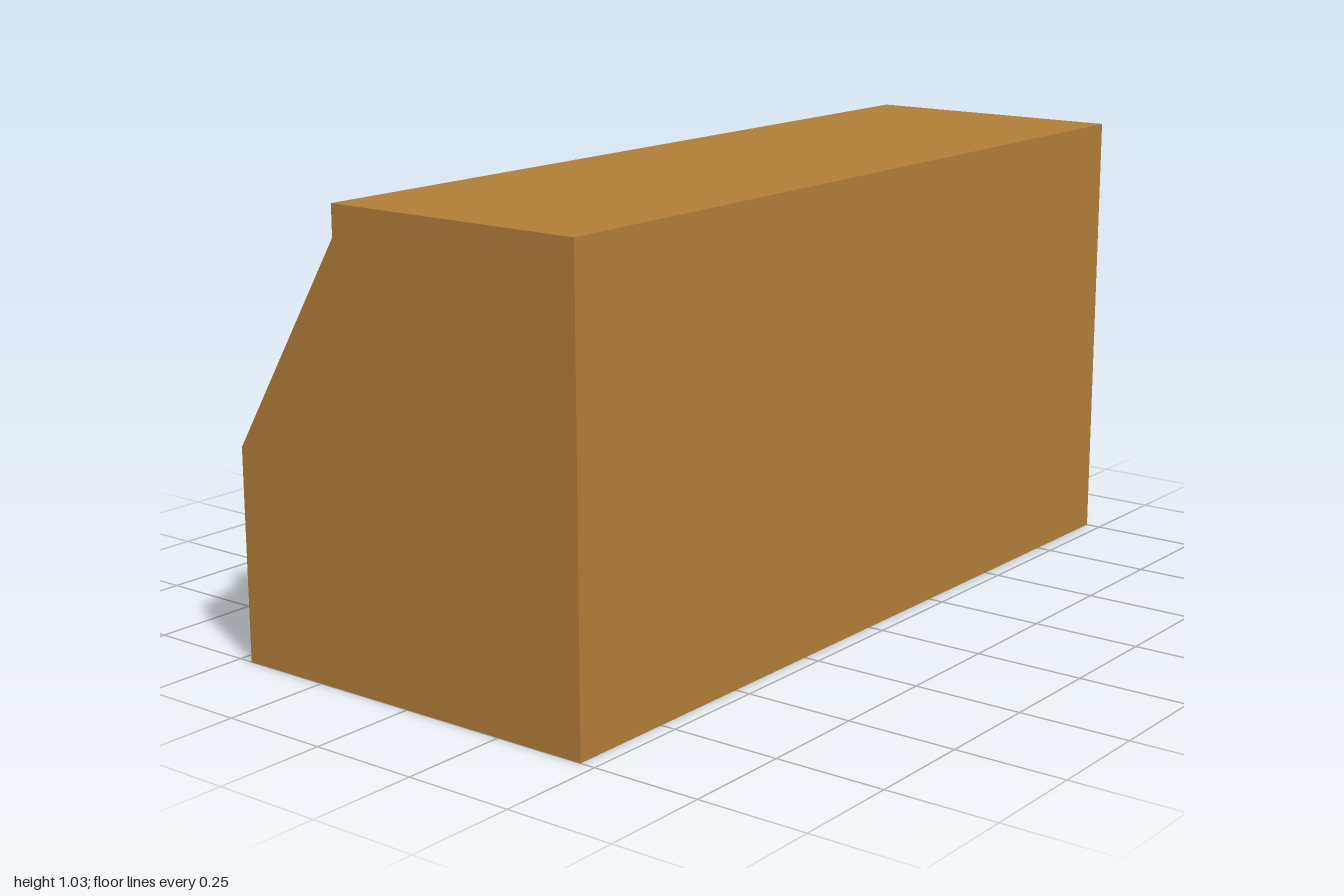
import * as THREE from 'three';

const material = new THREE.MeshStandardMaterial({ color: 0xb07d38, side: THREE.DoubleSide, flatShading: true });

// Profiles are lists of [z, y].
// Outer skin: front, top; the underside is open.
const frontAndTop = [[0.465, 0], [0.465, 1.03], [-0.17, 1.03]];
const slope = [[-0.17, 1.03], [-0.17, 0.96], [-0.465, 0.48]];
const backWall = [[-0.465, 0.48], [-0.465, 0]];
const header = [[-0.17, 1.03], [-0.17, 0.97]];
// Display recess: ceiling, sloped rear, step, riser, floor, rim.
const recess = [
  [-0.17, 0.97], [-0.07, 0.97], [-0.07, 0.955], [0.24, 0.955], [0.1, 0.68],
  [-0.07, 0.68], [-0.07, 0.46], [-0.44, 0.46], [-0.44, 0.48], [-0.465, 0.48],
];
const INNER = 0.94;

function addMesh(group, name, geometry) {
  const mesh = new THREE.Mesh(geometry, material);
  mesh.name = name;
  group.add(mesh);
}

// Sweeps a profile along x as a sheet with sharp folds.
function sheet(profile, x0, x1) {
  const positions = [];
  for (let i = 0; i < profile.length - 1; i++) {
    const [pz, py] = profile[i];
    const [qz, qy] = profile[i + 1];
    positions.push(x0, py, pz, x1, py, pz, x1, qy, qz);
    positions.push(x0, py, pz, x1, qy, qz, x0, qy, qz);
  }
  const geometry = new THREE.BufferGeometry();
  geometry.setAttribute('position', new THREE.Float32BufferAttribute(positions, 3));
  geometry.computeVertexNormals();
  return geometry;
}

// Flat panel across x, facing +x (1) or -x (-1).
function panel(outline, x, facing) {
  const shape = new THREE.Shape(outline.map(([z, y]) => new THREE.Vector2(-facing * z, y)));
  return new THREE.ShapeGeometry(shape).rotateY(facing * Math.PI / 2).translate(x, 0, 0);
}

export function createModel() {
  const group = new THREE.Group();
  group.name = 'displayCounter';

  addMesh(group, 'frontAndTop', sheet(frontAndTop, -1, 1));
  addMesh(group, 'backWall', sheet(backWall, -1, 1));
  addMesh(group, 'header', sheet(header, -INNER, INNER));
  addMesh(group, 'recess', sheet(recess, -INNER, INNER));

  const sideOutline = [...frontAndTop, ...slope.slice(1), backWall[1]];
  const recessOutline = [...recess, slope[1]];
  for (const side of [1, -1]) {
    const label = side > 0 ? 'left' : 'right';
    addMesh(group, label + 'Side', panel(sideOutline, side, side));
    addMesh(group, label + 'RecessSide', panel(recessOutline, side * INNER, -side));
    // Sloped frame beside the opening
    addMesh(group, label + 'Jamb', sheet(slope, side > 0 ? INNER : -1, side > 0 ? 1 : -INNER));
  }
  return group;
}
